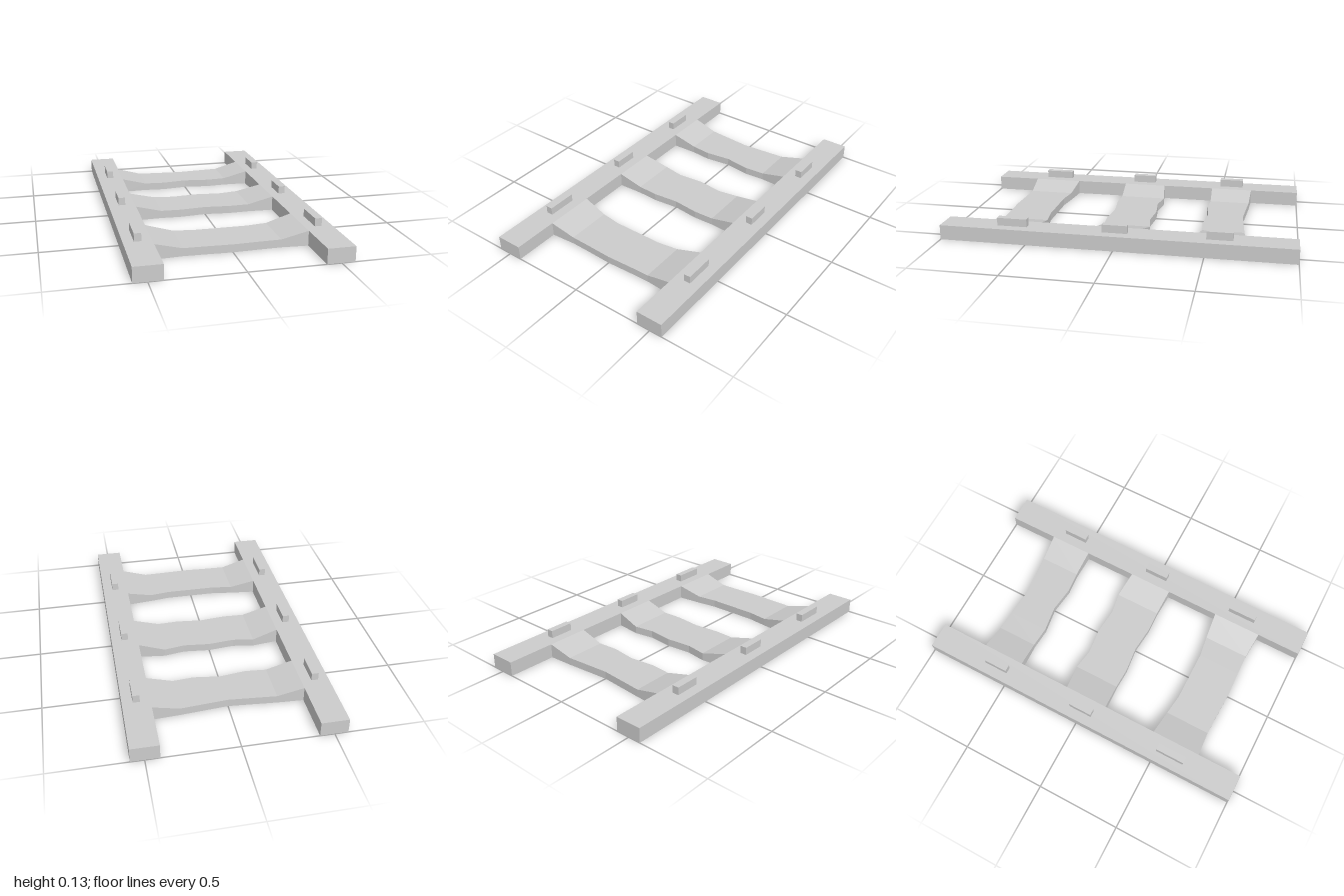
import * as THREE from 'three';

const material = new THREE.MeshStandardMaterial({ color: 0xcccccc, flatShading: true });

const RAIL_IN = 0.42, RAIL_OUT = 0.575, RAIL_H = 0.085;

// Stations along a rung, and the height of its top at each
const RUNG_X = [-0.42, -0.27, -0.15, 0, 0.15, 0.27, 0.42];
const RUNG_TOP = [RAIL_H, 0.045, 0.045, 0.045, 0.045, 0.045, RAIL_H];

// Back and front edges run from the rail to the middle, and are mirrored;
// pegs gives the z range of the pegs at the rung's ends
const RUNGS = [
  { name: 'backRung', back: [-0.708, -0.7, -0.69, -0.678], front: [-0.455, -0.46, -0.45, -0.47], pegs: [-0.65, -0.505] },
  { name: 'middleRung', back: [-0.14, -0.158, -0.138, -0.153], front: [0.121, 0.115, 0.12, 0.105], pegs: [-0.07, 0.072] },
  { name: 'frontRung', back: [0.442, 0.458, 0.475, 0.475], front: [0.735, 0.725, 0.728, 0.734], pegs: [0.505, 0.677] },
];

const mirrored = (half) => [...half, ...half.slice(0, -1).reverse()];

function addMesh(group, name, geometry) {
  const mesh = new THREE.Mesh(geometry, material);
  mesh.name = name;
  group.add(mesh);
}

function addBox(group, name, [x0, x1], [y0, y1], [z0, z1]) {
  const geometry = new THREE.BoxGeometry(x1 - x0, y1 - y0, z1 - z0);
  geometry.translate((x0 + x1) / 2, (y0 + y1) / 2, (z0 + z1) / 2);
  addMesh(group, name, geometry);
}

// Joins four-cornered cross-sections along x, with caps at both ends
function rungGeometry(back, front) {
  const sections = RUNG_X.map((x, i) => [
    [x, 0, back[i]], [x, 0, front[i]], [x, RUNG_TOP[i], front[i]], [x, RUNG_TOP[i], back[i]],
  ]);
  const positions = [];
  const quad = (a, b, c, d) => positions.push(...a, ...b, ...c, ...a, ...c, ...d);
  for (let i = 0; i < sections.length - 1; i++) {
    const a = sections[i], b = sections[i + 1];
    for (let k = 0; k < 4; k++) {
      const n = (k + 1) % 4;
      quad(a[k], b[k], b[n], a[n]);
    }
  }
  const first = sections[0], last = sections[sections.length - 1];
  quad(first[0], first[1], first[2], first[3]);
  quad(last[3], last[2], last[1], last[0]);
  const geometry = new THREE.BufferGeometry();
  geometry.setAttribute('position', new THREE.Float32BufferAttribute(positions, 3));
  geometry.computeVertexNormals();
  return geometry;
}

export function createModel() {
  const group = new THREE.Group();
  group.name = 'ladder';

  // Two straight side rails
  addBox(group, 'leftRail', [RAIL_IN, RAIL_OUT], [0, RAIL_H], [-1, 1]);
  addBox(group, 'rightRail', [-RAIL_OUT, -RAIL_IN], [0, RAIL_H], [-1, 1]);

  // Worn rungs, each with a peg standing on either rail
  for (const { name, back, front, pegs } of RUNGS) {
    addMesh(group, name, rungGeometry(mirrored(back), mirrored(front)));
    addBox(group, name + 'LeftPeg', [0.477, 0.516], [RAIL_H, 0.13], pegs);
    addBox(group, name + 'RightPeg', [-0.516, -0.477], [RAIL_H, 0.13], pegs);
  }
  return group;
}
